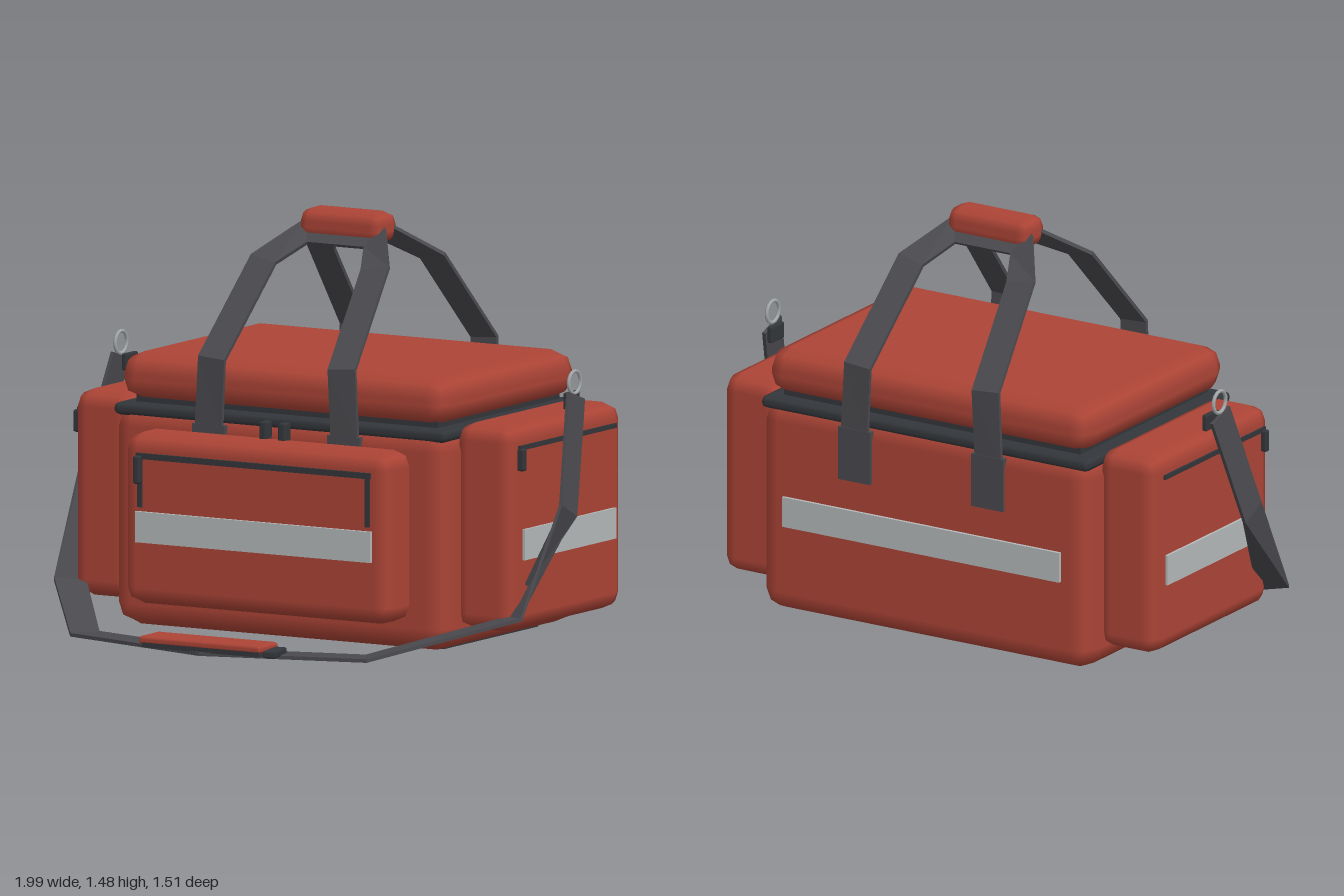
import * as THREE from 'three';
import { RoundedBoxGeometry } from 'three/addons/geometries/RoundedBoxGeometry.js';

const mat = (name, color) => {
  const m = new THREE.MeshStandardMaterial({ color });
  m.name = name;
  return m;
};

export function createModel() {
  const red = mat('redFabric', 0xac4436);
  const webbing = mat('greyWebbing', 0x4a4a4f);
  const trim = mat('darkTrim', 0x33363a);
  const silver = mat('reflectiveSilver', 0xb4b9b9);
  const metal = mat('ringMetal', 0xa4a9ab);

  const bag = new THREE.Group();
  bag.name = 'duffelBag';
  const MID = -0.265; // z of the bag's middle

  const add = (name, geo, material, x = 0, y = 0, z = 0) => {
    const mesh = new THREE.Mesh(geo, material);
    mesh.name = name;
    mesh.position.set(x, y, z);
    bag.add(mesh);
    return mesh;
  };

  // Box given by its limits on each axis; r rounds the edges in two facets
  const box = (name, material, [x0, x1], [y0, y1], [z0, z1], r = 0) => {
    const s = [x1 - x0, y1 - y0, z1 - z0];
    const geo = r ? new RoundedBoxGeometry(...s, 1, r) : new THREE.BoxGeometry(...s);
    return add(name, geo, material, (x0 + x1) / 2, (y0 + y1) / 2, (z0 + z1) / 2);
  };

  // Flat strap along points; each entry is [position, direction across the width]
  const ribbon = (name, material, path, width, thick) => {
    const pts = path.map(([p]) => new THREE.Vector3(...p));
    const verts = [];
    const idx = [];
    pts.forEach((p, i) => {
      const t = pts[Math.min(i + 1, pts.length - 1)].clone()
        .sub(pts[Math.max(i - 1, 0)]).normalize();
      const s = new THREE.Vector3(...path[i][1]);
      s.addScaledVector(t, -s.dot(t)).normalize();
      const n = t.clone().cross(s);
      for (const [a, b] of [[1, 1], [-1, 1], [-1, -1], [1, -1]]) {
        const v = p.clone().addScaledVector(s, a * width / 2).addScaledVector(n, b * thick / 2);
        verts.push(v.x, v.y, v.z);
      }
      if (i === 0) return;
      for (let j = 0; j < 4; j++) {
        const a = (i - 1) * 4 + j, b = (i - 1) * 4 + (j + 1) % 4;
        idx.push(a, b, a + 4, b, b + 4, a + 4);
      }
    });
    const e = (pts.length - 1) * 4;
    idx.push(0, 2, 1, 0, 3, 2, e, e + 1, e + 2, e, e + 2, e + 3);
    const geo = new THREE.BufferGeometry();
    geo.setAttribute('position', new THREE.Float32BufferAttribute(verts, 3));
    geo.setIndex(idx);
    const flat = geo.toNonIndexed();
    flat.computeVertexNormals();
    return add(name, flat, material);
  };
  const mirrorX = ([p, s]) => [[-p[0], p[1], p[2]], [-s[0], s[1], s[2]]];
  const mirrorZ = ([p, s]) => [[p[0], p[1], 2 * MID - p[2]], [s[0], s[1], -s[2]]];

  // Body, lid and the zip rim between them
  box('body', red, [-0.69, 0.69], [0.01, 0.8], [-0.745, 0.215], 0.08);
  box('lid', red, [-0.675, 0.675], [0.81, 0.98], [-0.73, 0.2], 0.075);
  box('zipRim', trim, [-0.685, 0.685], [0.757, 0.802], [-0.738, 0.208], 0.02);
  box('lidSeam', trim, [-0.62, 0.62], [0.79, 0.83], [-0.68, 0.15]);

  // Front pocket with zip and reflective band
  box('frontPocket', red, [-0.55, 0.55], [0.115, 0.725], [0.17, 0.37], 0.06);
  box('frontBand', silver, [-0.485, 0.485], [0.34, 0.45], [0.365, 0.384]);
  box('frontZip', trim, [-0.485, 0.48], [0.637, 0.658], [0.365, 0.38]);
  for (const x of [-0.47, 0.467])
    box('frontZipEnd', trim, [x - 0.009, x + 0.009], [0.465, 0.645], [0.365, 0.378]);
  box('frontZipPull', trim, [-0.485, -0.459], [0.55, 0.65], [0.37, 0.403], 0.008);
  box('backBand', silver, [-0.58, 0.58], [0.34, 0.45], [-0.757, -0.74]);

  // Lid zip pulls
  for (const x of [-0.04, 0.037])
    box('lidZipPull', trim, [x - 0.015, x + 0.015], [0.705, 0.787], [0.205, 0.253], 0.008);

  for (const side of [-1, 1]) {
    const span = (a, b) => (side > 0 ? [a, b] : [-b, -a]);
    // Side pocket with zip, pull and reflective band
    box('sidePocket', red, span(0.665, 0.908), [0.085, 0.82], [-0.65, 0.12], 0.06);
    box('sideBand', silver, span(0.9, 0.918), [0.34, 0.45], [-0.575, 0.045]);
    box('sideZip', trim, span(0.9, 0.915), [0.733, 0.75], [-0.585, 0.07]);
    box('sideZipPull', trim, span(0.9, 0.93), [0.66, 0.74], [0.048, 0.075], 0.008);
    // Ring and clip of the shoulder strap
    const ring = add('strapRing', new THREE.TorusGeometry(0.04, 0.007, 6, 16), metal,
      side * 0.935, 0.937, -0.263);
    ring.rotation.y = Math.PI / 2;
    box('strapClip', trim, span(0.9, 0.92), [0.84, 0.9], [-0.325, -0.24], 0.006);
    // Runner under the body
    box('runner', trim, span(0.52, 0.59), [0, 0.02], [-0.585, 0.055]);
  }

  // Carry handles, front and back, each one looped strap
  const leg = [
    [[0.28, 0.74, 0.218], [1, 0, 0]],
    [[0.268, 0.99, 0.218], [1, 0, 0]],
    [[0.23, 1.31, -0.07], [0.93, 0.35, -0.3]],
    [[0.14, 1.4, -0.215], [0.6, 0.6, -0.5]],
  ];
  const loop = [...leg, ...leg.map(mirrorX).reverse()];
  ribbon('frontHandle', webbing, loop, 0.11, 0.014);
  ribbon('backHandle', webbing, loop.map(mirrorZ), 0.11, 0.014);
  for (const x of [-0.278, 0.278]) {
    box('frontHandleAnchor', webbing, [x - 0.067, x + 0.067], [0.56, 0.755], [0.205, 0.226]);
    box('backHandleAnchor', webbing, [x - 0.067, x + 0.067], [0.56, 0.755], [-0.757, -0.735]);
  }
  box('handleGrip', red, [-0.173, 0.173], [1.37, 1.483], [-0.335, -0.195], 0.045);

  // Shoulder strap lying out in front
  const half = [
    [[0.938, 0.89, -0.265], [0, 0.4, 0.9]],
    [[0.988, 0.5, -0.132], [0, 0.47, 0.88]],
    [[0.915, 0.14, 0.115], [1, 0.2, 0.4]],
    [[0.58, 0.03, 0.567], [0.53, 0, 0.85]],
  ];
  ribbon('shoulderStrap', webbing,
    [...half, [[0, 0.025, 0.692], [0, 0, 1]], ...half.map(mirrorX).reverse()], 0.115, 0.013);
  box('shoulderPadBase', trim, [-0.24, 0.24], [0.03, 0.05], [0.61, 0.74]);
  box('shoulderPad', red, [-0.255, 0.245], [0.04, 0.07], [0.607, 0.742], 0.012);
  const buckle = box('strapBuckle', trim, [0.245, 0.295], [0.028, 0.055], [0.615, 0.74], 0.008);
  buckle.rotation.y = 0.2;

  return bag;
}
